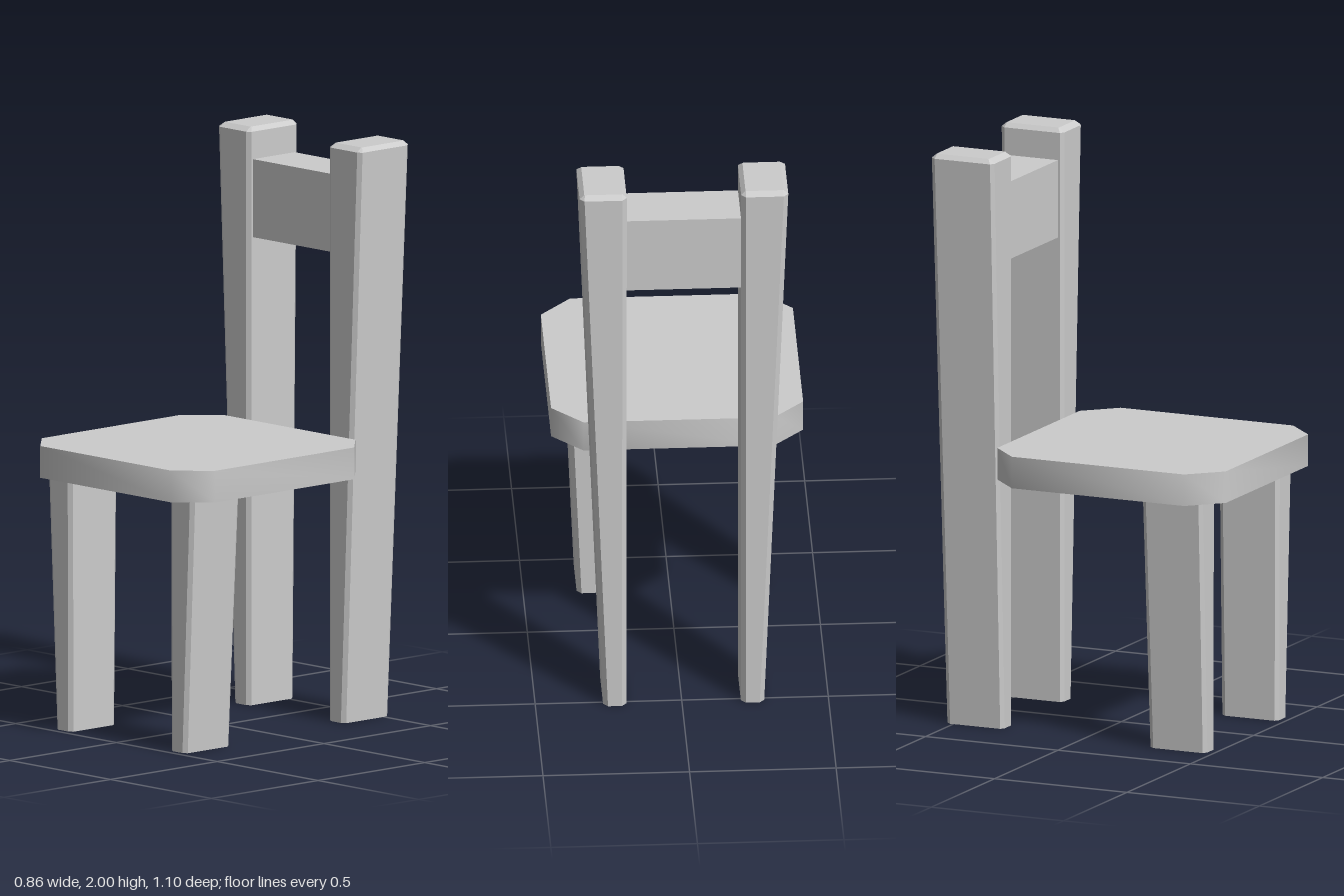
import * as THREE from 'three';
import { toCreasedNormals } from 'three/addons/utils/BufferGeometryUtils.js';

const material = new THREE.MeshStandardMaterial({ color: 0xcccccc });
const flatMaterial = new THREE.MeshStandardMaterial({ color: 0xcccccc, flatShading: true });

// Rectangle with cut corners: eight points, counter-clockwise seen from above
function ring(y, xa, xb, zBack, zFront, cx = 0.016, cBack = 0.018, cFront = 0.01) {
  return [
    [xa + cx, y, zFront], [xb - cx, y, zFront],
    [xb, y, zFront - cFront], [xb, y, zBack + cBack],
    [xb - cx, y, zBack], [xa + cx, y, zBack],
    [xa, y, zBack + cBack], [xa, y, zFront - cFront],
  ];
}

// Closed solid through a stack of rings, bottom to top
function loft(rings) {
  const n = rings[0].length;
  const index = [];
  for (let r = 0; r < rings.length - 1; r++) {
    for (let i = 0; i < n; i++) {
      const a = r * n + i, b = r * n + (i + 1) % n;
      index.push(a, b, b + n, a, b + n, a + n);
    }
  }
  const top = (rings.length - 1) * n;
  for (let i = 1; i < n - 1; i++) {
    index.push(0, i + 1, i, top, top + i, top + i + 1);
  }
  const geometry = new THREE.BufferGeometry();
  geometry.setAttribute('position', new THREE.Float32BufferAttribute(rings.flat(2), 3));
  geometry.setIndex(index);
  const flat = geometry.toNonIndexed();
  flat.computeVertexNormals();
  return flat;
}

export function createModel() {
  const chair = new THREE.Group();
  chair.name = 'chair';
  const add = (name, geometry, mat = flatMaterial) => {
    const mesh = new THREE.Mesh(geometry, mat);
    mesh.name = name;
    chair.add(mesh);
    return mesh;
  };

  // Seat slab with cut corners, its rim softly shaded around them
  const outline = new THREE.Shape([
    [-0.325, -0.55], [0.325, -0.55], [0.43, -0.443], [0.43, 0.208],
    [0.325, 0.313], [-0.325, 0.313], [-0.43, 0.208], [-0.43, -0.443],
  ].map(([x, y]) => new THREE.Vector2(x, y)));
  const slab = new THREE.ExtrudeGeometry(outline, { depth: 0.11, bevelEnabled: false });
  slab.rotateX(-Math.PI / 2).translate(0, 0.88, 0);
  add('seat', toCreasedNormals(slab, Math.PI / 3.5), material);

  // Legs and posts: straight inner face, outer face flaring upwards
  for (const side of [-1, 1]) {
    const label = side > 0 ? 'left' : 'right';
    const span = (inner, outer) => [side * inner - 0.006, side * outer - 0.006].sort((a, b) => a - b);

    add(label + 'FrontLeg', loft([
      ring(0, ...span(0.244, 0.323), 0.26, 0.475),
      ring(0.885, ...span(0.244, 0.362), 0.25, 0.477),
    ]));

    add(label + 'BackPost', loft([
      ring(0, ...span(0.195, 0.275), -0.53, -0.313),
      ring(1.985, ...span(0.195, 0.356), -0.55, -0.313),
      ring(2, ...span(0.21, 0.34), -0.532, -0.334, 0.002, 0.002, 0.002),
    ]));
  }

  // Back rail between the posts
  add('backRail', new THREE.BoxGeometry(0.42, 0.27, 0.195)).position.set(-0.006, 1.755, -0.4275);

  return chair;
}
